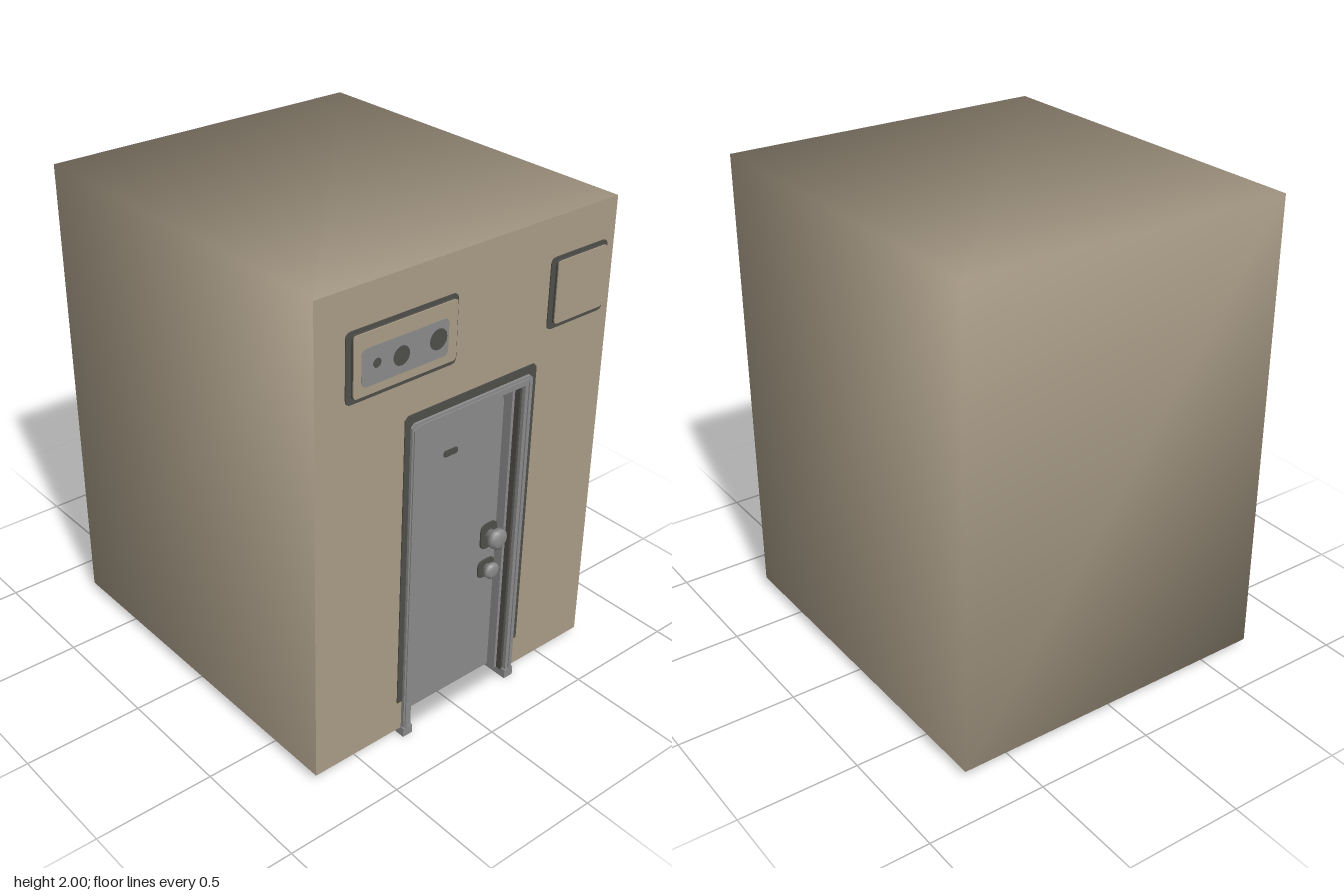
import * as THREE from 'three';
import { mergeVertices } from 'three/addons/utils/BufferGeometryUtils.js';

const material = (name, color) => {
  const m = new THREE.MeshStandardMaterial({ color });
  m.name = name;
  return m;
};

export function createModel() {
  const group = new THREE.Group();
  const tan = material('tan wall', 0xa99c87);
  const grey = material('grey metal', 0x8a8a8a);
  const dark = material('dark trim', 0x4e4d49);

  const add = (name, geometry, mat) => {
    const mesh = new THREE.Mesh(geometry, mat);
    mesh.name = name;
    group.add(mesh);
    return mesh;
  };

  // Extrudes a shape between two depths
  const slab = (name, shape, z0, z1, mat) => {
    const g = new THREE.ExtrudeGeometry(shape, { depth: z1 - z0, bevelEnabled: false, curveSegments: 6 });
    return add(name, g.translate(0, 0, z0), mat);
  };

  // Rounded rectangle; rb is the radius of the bottom corners
  const roundRect = (x0, x1, y0, y1, r, rb = r) => {
    const s = new THREE.Shape();
    s.moveTo(x0 + rb, y0).lineTo(x1 - rb, y0);
    if (rb) s.quadraticCurveTo(x1, y0, x1, y0 + rb);
    s.lineTo(x1, y1 - r).quadraticCurveTo(x1, y1, x1 - r, y1);
    s.lineTo(x0 + r, y1).quadraticCurveTo(x0, y1, x0, y1 - r);
    s.lineTo(x0, y0 + rb);
    if (rb) s.quadraticCurveTo(x0, y0, x0 + rb, y0);
    return s;
  };

  // Door surround: two uprights and a lintel of width w
  const surround = (name, x0, x1, y0, y1, w, z0, z1, mat) => {
    const s = new THREE.Shape();
    const c = 0.015;
    s.moveTo(x0, y0).lineTo(x0 + w, y0).lineTo(x0 + w, y1 - w).lineTo(x1 - w, y1 - w);
    s.lineTo(x1 - w, y0).lineTo(x1, y0).lineTo(x1, y1 - c).lineTo(x1 - c, y1);
    s.lineTo(x0 + c, y1).lineTo(x0, y1 - c).lineTo(x0, y0);
    return slab(name, s, z0, z1, mat);
  };

  // Building shell: smoothly shaded box with its front left open
  const box = new THREE.BoxGeometry(1.42, 1.965, 1.58);
  box.deleteAttribute('normal');
  box.deleteAttribute('uv');
  const shell = mergeVertices(box);
  shell.computeVertexNormals();
  const faces = Array.from(shell.index.array);
  faces.splice(24, 6);
  shell.setIndex(faces);
  shell.clearGroups();
  add('shell', shell.translate(0, 1.0175, -0.01), tan);

  // Front wall with the doorway cut out
  const wall = new THREE.Shape();
  wall.moveTo(-0.71, 0.035).lineTo(-0.265, 0.035).lineTo(-0.265, 1.38).lineTo(0.295, 1.38);
  wall.lineTo(0.295, 0.035).lineTo(0.71, 0.035).lineTo(0.71, 2).lineTo(-0.71, 2).lineTo(-0.71, 0.035);
  add('frontWall', new THREE.ShapeGeometry(wall).translate(0, 0, 0.78), tan);

  // Door and stepped frame
  surround('doorOutline', -0.31, 0.338, 0.17, 1.44, 0.04, 0.78, 0.784, dark);
  surround('doorFrame', -0.285, 0.312, 0.035, 1.405, 0.037, 0.69, 0.795, grey);
  surround('frameRidge', -0.278, 0.305, 0.035, 1.395, 0.014, 0.79, 0.8, grey);
  surround('frameGap', -0.249, 0.276, 0.035, 1.369, 0.012, 0.69, 0.78, dark);
  surround('innerFrame', -0.238, 0.265, 0.035, 1.357, 0.014, 0.69, 0.755, grey);
  slab('doorBacking', roundRect(-0.25, 0.28, 0.035, 1.37, 0.01, 0), 0.69, 0.7, dark);
  slab('door', roundRect(-0.23, 0.25, 0.035, 1.335, 0.07, 0), 0.7, 0.715, grey);
  slab('peephole', roundRect(-0.052, 0.015, 1.148, 1.174, 0.01), 0.715, 0.72, dark);
  for (const x of [-0.266, 0.291]) {
    const foot = new THREE.BoxGeometry(0.046, 0.04, 0.13);
    add('frameFoot', foot.translate(x, 0.02, 0.735), grey);
  }

  // Knob and lock, turned from short profiles
  const turned = (name, x, y, r, depth, mat) => {
    const profile = [[0, 0], [0.55, 0], [0.5, 0.4], [1, 0.55], [0.95, 0.85], [0.6, 1], [0, 1]]
      .map(([a, b]) => new THREE.Vector2(a * r, b * depth));
    const g = new THREE.LatheGeometry(profile, 14);
    add(name, g.rotateX(Math.PI / 2).translate(x, y, 0.715), mat);
  };
  turned('doorKnob', 0.212, 0.7, 0.045, 0.07, grey);
  turned('doorLock', 0.205, 0.545, 0.036, 0.05, grey);
  slab('knobPlate', roundRect(0.165, 0.25, 0.64, 0.755, 0.03), 0.715, 0.722, dark);
  slab('lockPlate', roundRect(0.16, 0.245, 0.505, 0.585, 0.025), 0.715, 0.722, dark);

  // Wall boxes: outline on the wall, dark sides, tan cover
  const wallBox = (name, x0, x1, y0, y1) => {
    slab(name + 'Outline', roundRect(x0 - 0.023, x1 + 0.015, y0 - 0.023, y1 + 0.014, 0.025), 0.78, 0.784, dark);
    slab(name + 'Sides', roundRect(x0, x1, y0, y1, 0.015), 0.784, 0.793, dark);
    slab(name + 'Cover', roundRect(x0, x1, y0, y1, 0.015), 0.793, 0.798, tan);
  };
  wallBox('lightPanel', -0.557, -0.095, 1.6, 1.833);
  wallBox('utilityBox', 0.4, 0.657, 1.58, 1.828);

  // Light panel inset with three round lenses
  slab('panelInset', roundRect(-0.525, -0.135, 1.632, 1.775, 0.025), 0.798, 0.799, grey);
  for (const [x, y, r] of [[-0.458, 1.709, 0.018], [-0.35, 1.7, 0.037], [-0.183, 1.707, 0.04]]) {
    add('lens', new THREE.CircleGeometry(r, 20).translate(x, y, 0.8), dark);
  }

  return group;
}
